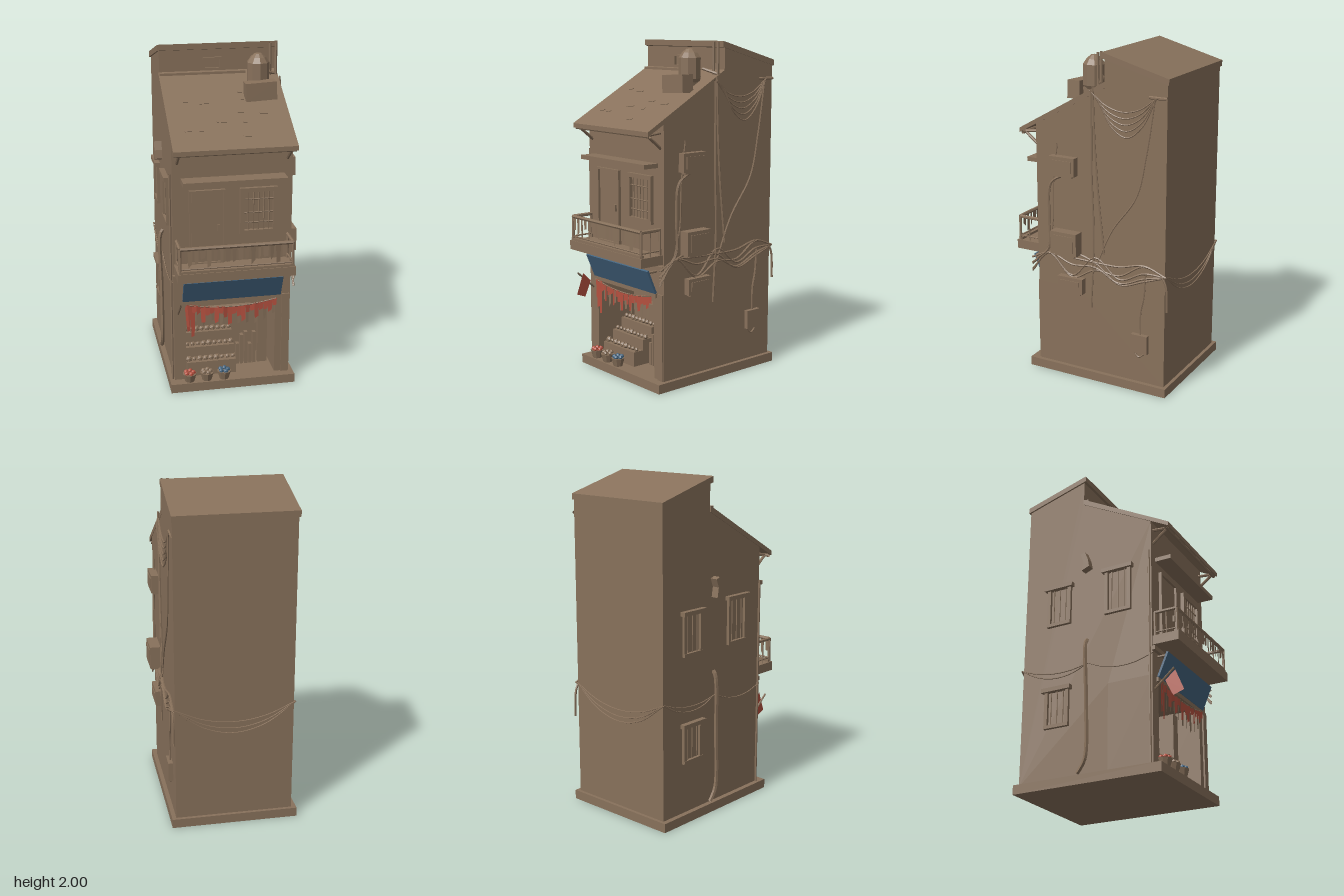
import * as THREE from 'three';

const mat = (name, color, side = THREE.FrontSide) => {
  const m = new THREE.MeshStandardMaterial({ color, side, flatShading: true });
  m.name = name;
  return m;
};

export function createModel() {
  const house = new THREE.Group();
  house.name = 'shopHouse';
  const clay = mat('clay brown', 0x88715b, THREE.DoubleSide);
  const blue = mat('sign blue', 0x44647f, THREE.DoubleSide);
  const red = mat('cloth red', 0xb4503f, THREE.DoubleSide);
  let seed = 7;
  const rnd = (a, b) => {
    seed = (seed * 16807) % 2147483647;
    return a + (b - a) * seed / 2147483647;
  };

  const add = (name, geo, m = clay) => {
    const mesh = new THREE.Mesh(geo, m);
    mesh.name = name;
    house.add(mesh);
    return mesh;
  };
  // Box given by its limits on each axis
  const box = (name, x0, x1, y0, y1, z0, z1, m) => {
    const b = add(name, new THREE.BoxGeometry(x1 - x0, y1 - y0, z1 - z0), m);
    b.position.set((x0 + x1) / 2, (y0 + y1) / 2, (z0 + z1) / 2);
    return b;
  };
  // Side profile of [z, y] points, extruded from x0 to x1
  const profile = (name, pts, x0, x1, m) => {
    const shape = new THREE.Shape(pts.map(p => new THREE.Vector2(...p)));
    const g = new THREE.ExtrudeGeometry(shape, { depth: x1 - x0, bevelEnabled: false });
    g.rotateY(-Math.PI / 2).translate(x1, 0, 0);
    return add(name, g, m);
  };
  const tube = (name, pts, r = 0.005, m = clay) => {
    const curve = new THREE.CatmullRomCurve3(pts.map(p => new THREE.Vector3(...p)), false, 'centripetal');
    return add(name, new THREE.TubeGeometry(curve, pts.length * 6, r, 5), m);
  };
  const bar = (name, a, b, r) => add(name, new THREE.TubeGeometry(
    new THREE.LineCurve3(new THREE.Vector3(...a), new THREE.Vector3(...b)), 1, r, 6));
  const sag = (name, a, b, drop, r = 0.004) => tube(name, [0, 0.25, 0.5, 0.75, 1].map(t =>
    a.map((v, i) => v + (b[i] - v) * t - (i === 1 ? drop * 4 * t * (1 - t) : 0))), r);
  // Four-bar frame on a wall facing +z, placed in a group when turned
  const frame = (name, x0, x1, y0, y1, z, w, d) => {
    box(name, x0, x1, y1 - w, y1, z, z + d);
    box(name, x0, x1, y0, y0 + w, z, z + d);
    box(name, x0, x0 + w, y0 + w, y1 - w, z, z + d);
    box(name, x1 - w, x1, y0 + w, y1 - w, z, z + d);
  };

  // Base and walls, with a recess for the shop
  box('base', -0.39, 0.365, 0, 0.055, -0.51, 0.42);
  profile('walls', [[-0.49, 0.05], [0.08, 0.05], [0.08, 0.57], [0.36, 0.57], [0.36, 1.55],
    [-0.1, 1.81], [-0.1, 1.97], [-0.49, 1.86]], -0.36, 0.34);
  box('leftPillar', 0.25, 0.34, 0.05, 0.57, 0.08, 0.36);
  box('rightPillar', -0.36, -0.29, 0.05, 0.57, 0.08, 0.36);
  box('pillarTrim', 0.29, 0.335, 0.055, 0.57, 0.36, 0.37);
  box('floorBand', -0.365, 0.345, 0.715, 0.74, 0.36, 0.38);

  // Roofs
  profile('frontRoof', [[0.475, 1.485], [0.475, 1.512], [-0.1, 1.835], [-0.1, 1.8]], -0.365, 0.342);
  profile('rearRoof', [[-0.085, 1.965], [-0.085, 2], [-0.5, 1.885], [-0.5, 1.85]], -0.37, 0.345);
  box('roofJointTrim', -0.36, 0.15, 1.8, 1.832, -0.1, -0.07);
  frame('atticWindow', -0.1, 0.01, 1.84, 1.915, -0.1, 0.012, 0.015);
  for (let i = 0; i < 12; i++) {
    const z = rnd(-0.02, 0.42), x = rnd(-0.33, 0.25);
    const chip = box('roofChip', x, x + rnd(0.02, 0.06), 0, 0.006, -0.008, 0.008);
    chip.position.set(x, 1.779 - z * 0.5617, z);
    chip.rotation.x = 0.512;
  }
  for (const x of [-0.33, 0.31]) {
    bar('eaveBrace', [x, 1.49, 0.455], [x, 1.41, 0.355], 0.009);
    bar('eaveBeam', [x, 1.49, 0.455], [x, 1.5, 0.355], 0.009);
  }
  bar('eaveRail', [-0.36, 1.485, 0.455], [0.335, 1.485, 0.455], 0.01);

  // Rooftop tank, box and mast
  const tank = add('waterTank', new THREE.LatheGeometry([[0, -0.1], [0.055, -0.1], [0.066, -0.08],
    [0.066, 0.04], [0.045, 0.07], [0.022, 0.09], [0, 0.095]].map(p => new THREE.Vector2(...p)), 9));
  tank.position.set(0.2, 1.865, 0.045);
  box('tankStand', 0.15, 0.25, 1.69, 1.775, 0.0, 0.09);
  const cooler = box('roofCooler', 0.105, 0.285, 1.705, 1.81, 0.095, 0.175);
  cooler.rotation.z = 0.05;
  for (const x of [0.295, 0.33]) bar('mast', [x, 1.76, -0.055], [x, 1.995, -0.055], 0.009);
  bar('mastArm', [0.23, 1.84, -0.03], [0.335, 1.81, -0.06], 0.009);

  // Upper floor door, window and canopy
  box('canopy', -0.31, 0.29, 1.3, 1.325, 0.36, 0.46);
  frame('doorFrame', -0.265, -0.055, 0.8, 1.25, 0.36, 0.012, 0.018);
  box('door', -0.25, -0.07, 0.81, 1.235, 0.36, 0.366);
  box('doorHandle', -0.1, -0.088, 1.0, 1.04, 0.366, 0.378);
  frame('windowFrame', 0.03, 0.25, 0.97, 1.25, 0.36, 0.025, 0.022);
  for (let i = 1; i < 6; i++) {
    const x = 0.05 + i * 0.03;
    bar('windowBar', [x, 0.99, 0.37], [x, 1.23, 0.37], 0.004);
  }
  for (const y of [1.04, 1.1, 1.18]) bar('windowBar', [0.05, y, 0.37], [0.23, y, 0.37], 0.004);

  // Balcony with railing and hanging washing
  box('balconyFloor', -0.355, 0.33, 0.75, 0.805, 0.36, 0.52);
  box('balconyLip', -0.345, 0.32, 0.805, 0.82, 0.49, 0.515);
  const corners = [[-0.34, 0.37], [-0.34, 0.505], [0.315, 0.505], [0.315, 0.37]];
  for (let i = 0; i < 3; i++) {
    const [a, b] = [corners[i], corners[i + 1]];
    bar('topRail', [a[0], 0.952, a[1]], [b[0], 0.952, b[1]], 0.011);
    bar('lowRail', [a[0], 0.83, a[1]], [b[0], 0.83, b[1]], 0.005);
  }
  for (const [x, z] of corners) bar('railPost', [x, 0.8, z], [x, 0.955, z], 0.009);
  for (const x of [-0.34, 0.315]) bar('railPost', [x, 0.8, 0.44], [x, 0.95, 0.44], 0.004);

  // Pointed cloth strip hanging from its top centre
  const strip = (name, x, y, z, w, h, m) => {
    const s = new THREE.Shape([[-w / 2, 0], [w / 2, 0], [w * 0.4, -h * rnd(0.75, 1)], [-w * 0.35, -h]]
      .map(p => new THREE.Vector2(...p)));
    const mesh = add(name, new THREE.ShapeGeometry(s), m);
    mesh.position.set(x, y, z);
    mesh.rotation.y = rnd(-0.25, 0.25);
    return mesh;
  };
  for (let i = 0; i < 18; i++) strip('washing', -0.32 + i * 0.0365, 0.948, 0.508, rnd(0.014, 0.034), rnd(0.06, 0.12));

  // Leaning signboard and bunting below it
  profile('signboard', [[0.375, 0.57], [0.435, 0.71], [0.423, 0.715], [0.363, 0.575]], -0.31, 0.28, blue);
  for (const x of [-0.29, 0.27]) bar('signBrace', [x, 0.7, 0.42], [x, 0.7, 0.355], 0.008);
  box('shopLintel', -0.31, 0.28, 0.545, 0.57, 0.345, 0.372);
  sag('buntingCord', [-0.29, 0.55, 0.378], [0.25, 0.55, 0.378], 0.03);
  for (let i = 0; i < 20; i++) {
    const t = i / 19, y = 0.552 - 0.12 * t * (1 - t);
    strip('bunting', -0.27 + t * 0.51, y, 0.38, 0.03, i % 3 ? rnd(0.04, 0.075) : rnd(0.08, 0.12), red);
    if (i % 2) strip('hangingGoods', -0.26 + t * 0.5, y - 0.02, 0.355, 0.02, rnd(0.08, 0.13));
  }
  for (const x of [-0.275, -0.25]) strip('redDrape', x, 0.545, 0.372, 0.026, rnd(0.17, 0.21), red);

  // Side flag on its pole
  bar('flagPole', [-0.335, 0.49, 0.36], [-0.335, 0.595, 0.48], 0.006);
  const flag = add('flag', new THREE.ShapeGeometry(new THREE.Shape([[-0.47, 0.6], [-0.41, 0.545],
    [-0.455, 0.45], [-0.52, 0.475]].map(p => new THREE.Vector2(...p)))), red);
  flag.rotation.y = Math.PI / 2;
  flag.position.x = -0.335;
  flag.rotation.y += 0.08;

  // Stepped shop counter with goods
  for (let i = 0; i < 3; i++) {
    const y = 0.145 + i * 0.065, z = 0.33 - i * 0.07;
    box('counterStep', -0.28, 0.02, 0.055, y, z - 0.07, z);
    for (let j = 0; j < 9; j++) {
      const g = add('goods', new THREE.IcosahedronGeometry(rnd(0.014, 0.022), 0));
      g.position.set(-0.265 + j * 0.034, y + 0.01, z - 0.03);
    }
  }
  for (let i = 0; i < 5; i++) box('plank', 0.04 + i * 0.026, 0.06 + i * 0.026, 0.055, rnd(0.17, 0.27), 0.2, 0.23);
  box('shopDoorLeaf', 0.175, 0.235, 0.055, 0.54, 0.2, 0.225);
  box('backShelf', -0.28, 0.16, 0.38, 0.395, 0.08, 0.14);

  // Produce baskets on the step
  [[-0.275, red], [-0.17, clay], [-0.065, blue]].forEach(([x, m]) => {
    const b = add('basket', new THREE.CylinderGeometry(0.042, 0.028, 0.05, 9, 1));
    b.position.set(x, 0.08, 0.385);
    for (let k = 0; k < 5; k++) {
      const f = add('produce', new THREE.IcosahedronGeometry(0.016, 0), m);
      f.position.set(x + 0.023 * Math.cos(k * 1.257), 0.11, 0.385 + 0.023 * Math.sin(k * 1.257));
    }
  });

  // Air conditioners and meter box on the left wall
  [[0.385, 1.27, 1.38, 0.08, 0.25], [0.405, 0.79, 0.93, 0.06, 0.235],
    [0.38, 0.55, 0.645, 0.035, 0.205]].forEach(([x, y0, y1, z0, z1]) => {
    box('airConditioner', 0.34, x, y0, y1, z0, z1);
    box('airConditionerGrille', x, x + 0.005, y0 + 0.02, y1 - 0.02, z0 + 0.02, z1 - 0.02);
    box('airConditionerBracket', 0.34, x - 0.01, y0 - 0.012, y0, z0 + 0.02, z1 - 0.02);
  });
  box('meterBox', 0.34, 0.368, 0.25, 0.365, -0.39, -0.285);

  // Cables and pipes on the left wall
  const X = 0.35;
  const wall = (pts, r) => tube('wallCable', pts.map(([z, y]) => [X, y, z]), r);
  wall([[0.08, 1.28], [0.2, 1.25], [0.26, 1.2], [0.275, 1.0], [0.28, 0.8], [0.36, 0.72]], 0.008);
  wall([[0.21, 1.45], [0.24, 1.2], [0.25, 0.95], [0.3, 0.76]], 0.004);
  wall([[-0.03, 1.8], [-0.04, 1.5], [-0.06, 1.2], [-0.1, 0.82]], 0.006);
  wall([[-0.02, 1.78], [-0.02, 1.3], [-0.03, 0.9], [-0.01, 0.47]], 0.006);
  wall([[-0.42, 1.77], [-0.37, 1.45], [-0.31, 1.2], [-0.15, 0.97], [-0.03, 0.7]], 0.005);
  wall([[-0.37, 0.74], [-0.36, 0.6], [-0.34, 0.5], [-0.34, 0.36]], 0.006);
  wall([[-0.29, 0.26], [-0.33, 0.22], [-0.38, 0.26]], 0.005);
  for (let i = 0; i < 5; i++) {
    sag('upperCable', [X + i * 0.004, 1.78 - i * 0.01, -0.01 - i * 0.015], [X, 1.775, -0.43], 0.1 + i * 0.03);
    const a = rnd(0.64, 0.8), b = rnd(0.64, 0.8), c = rnd(0.7, 0.84);
    wall([[0.4, rnd(0.6, 0.74)], [0.28, 0.77], [0.12, a], [-0.04, c], [-0.2, b], [-0.36, rnd(0.7, 0.8)], [-0.5, 0.75]], 0.006);
  }
  bar('cableHook', [0.34, 1.775, -0.38], [0.345, 1.775, -0.49], 0.009);
  tube('cableEnd', [[X, 0.76, -0.47], [X, 0.7, -0.5], [X, 0.54, -0.51]], 0.007);

  // Cables across the back and around the right wall
  for (const d of [0.1, 0.14, 0.17]) sag('backCable', [X, 0.755, -0.498], [-0.37, 0.755, -0.498], d);
  for (const d of [0.04, 0.07]) sag('rightCable', [-0.367, 0.755, -0.495], [-0.367, 0.72, -0.05], d);
  sag('rightCable', [-0.367, 0.72, -0.05], [-0.367, 0.7, 0.37], 0.05);

  // Windows on the right wall, with hoods and sills
  [[-0.33, -0.17, 1.0, 1.24], [0.06, 0.23, 1.0, 1.27], [-0.33, -0.17, 0.36, 0.58]].forEach(([z0, z1, y0, y1]) => {
    box('sideWindowHood', -0.392, -0.36, y1, y1 + 0.025, z0 - 0.015, z1 + 0.015);
    box('sideWindowSill', -0.38, -0.36, y0, y0 + 0.02, z0, z1);
    for (const z of [z0, z1 - 0.022]) box('sideWindowJamb', -0.377, -0.36, y0 + 0.02, y1, z, z + 0.022);
    for (let i = 1; i < 4; i++) {
      const z = z0 + (z1 - z0) * i / 4;
      bar('sideWindowBar', [-0.365, y0, z], [-0.365, y1, z], 0.004);
    }
  });

  // Vent and drainpipe on the right wall
  profile('vent', [[-0.08, 1.31], [-0.03, 1.33], [-0.04, 1.38], [-0.06, 1.43], [-0.09, 1.42], [-0.07, 1.37]], -0.405, -0.36);
  tube('drainpipe', [[-0.36, 0.87, -0.06], [-0.378, 0.84, -0.06], [-0.378, 0.5, -0.05], [-0.378, 0.15, -0.05],
    [-0.378, 0.09, -0.08], [-0.378, 0.065, -0.1]], 0.012);
  bar('cornerPipe', [-0.372, 0.06, 0.35], [-0.372, 1.35, 0.35], 0.007);
  return house;
}
